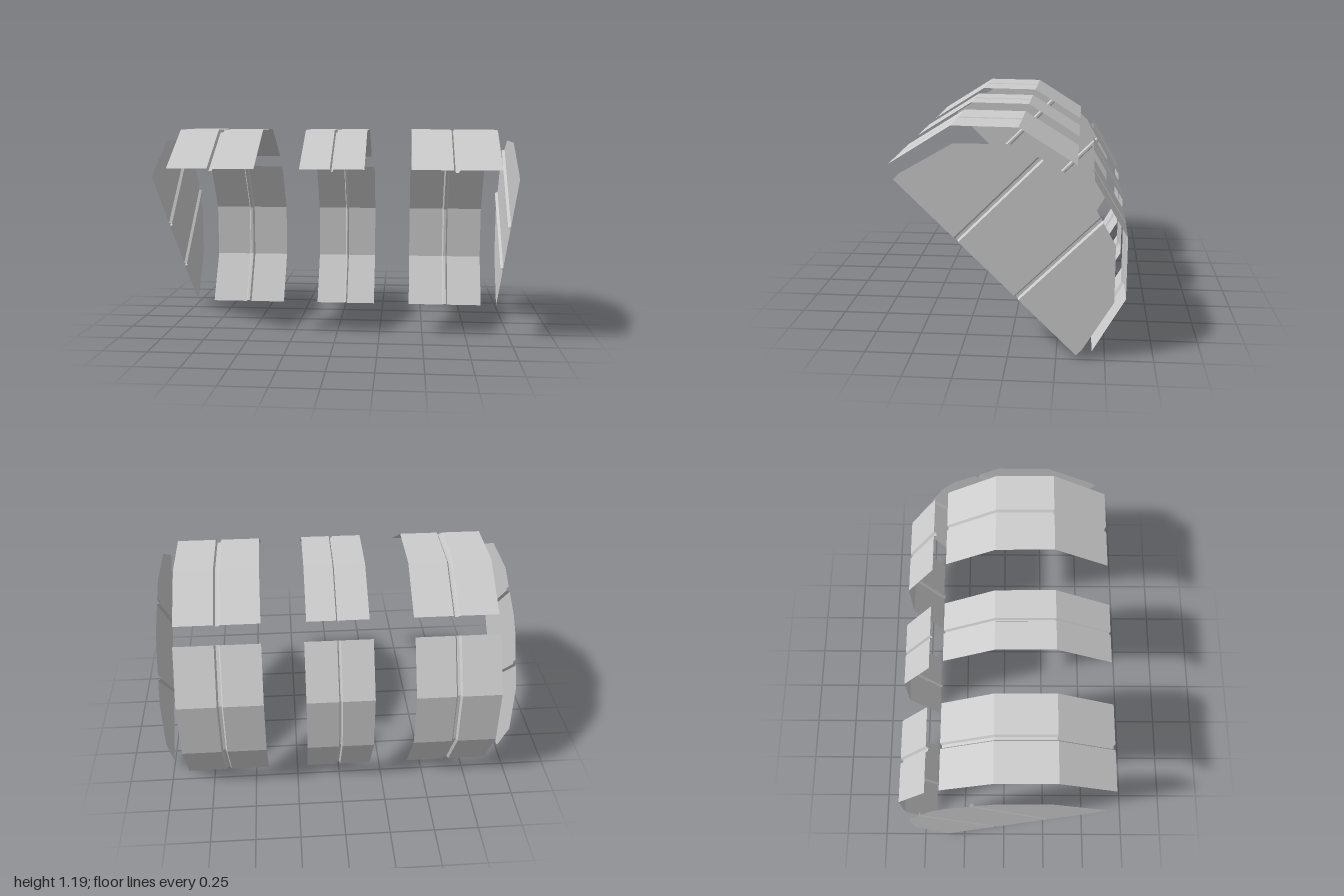
import * as THREE from 'three';

const DEPTH = 0.016; // how far the pressed grooves sink inwards

// Flat-faceted sheet through a grid of points (rows of equal length)
function sheet(rows) {
  const pos = [];
  for (let i = 0; i < rows.length - 1; i++) {
    for (let j = 0; j < rows[i].length - 1; j++) {
      const a = rows[i][j], b = rows[i + 1][j], c = rows[i + 1][j + 1], d = rows[i][j + 1];
      pos.push(...a, ...b, ...c, ...a, ...c, ...d);
    }
  }
  const g = new THREE.BufferGeometry();
  g.setAttribute('position', new THREE.Float32BufferAttribute(pos, 3));
  g.computeVertexNormals();
  return g;
}

// Bent strip: a grooved cross-section in x, swept along a [z, y] path
function strip(path, cx, half, groove, floor) {
  const section = [[-half, 0], [-groove, 0], [-floor, DEPTH], [floor, DEPTH], [groove, 0], [half, 0]];
  const pts = path.map(p => new THREE.Vector2(...p));
  const normal = (a, b) => { // inward side of a path running front to back and down
    const t = b.clone().sub(a).normalize();
    return new THREE.Vector2(-t.y, t.x);
  };
  const rows = pts.map((p, i) => {
    const n0 = i > 0 ? normal(pts[i - 1], p) : normal(p, pts[i + 1]);
    const n1 = i < pts.length - 1 ? normal(p, pts[i + 1]) : n0;
    const m = n0.clone().add(n1).divideScalar(1 + n0.dot(n1)); // mitre at the bends
    return section.map(([x, d]) => [cx + x, p.y + m.y * d, p.x + m.x * d]);
  });
  return sheet(rows);
}

// End panel: height v over its straight edge u, with two grooves across it
function endPanel(side) {
  const rim = [[0, 0.042], [0.081, 0.343], [0.293, 0.555], [0.59, 0.64],
    [0.704, 0.64], [1.0, 0.555], [1.213, 0.343], [1.29, 0.042]];
  const height = u => {
    const i = Math.max(1, rim.findIndex(p => p[0] >= u));
    const [a, b] = [rim[i - 1], rim[i]];
    return a[1] + (b[1] - a[1]) * (u - a[0]) / (b[0] - a[0]);
  };
  const stations = rim.map(([u, v]) => [u, v, 0]);
  for (const c of [0.432, 0.858]) {
    for (const [du, d] of [[-0.016, 0], [-0.007, DEPTH], [0.007, DEPTH], [0.016, 0]]) {
      stations.push([c + du, height(c + du), d]);
    }
  }
  stations.sort((a, b) => a[0] - b[0]);
  const s = Math.SQRT1_2;
  return sheet(stations.map(([u, v, d]) => [0, v].map(h =>
    [side * (1 - d), 0.935 + (h - u) * s, 0.56 - (u + h) * s])));
}

export function createModel() {
  const model = new THREE.Group();
  model.name = 'panelShell';
  const grey = new THREE.MeshStandardMaterial({ color: 0xcccccc, side: THREE.DoubleSide });
  grey.name = 'light grey';
  const add = (name, geometry) => {
    const mesh = new THREE.Mesh(geometry, grey);
    mesh.name = name;
    model.add(mesh);
  };

  // [z, y] paths of the roof and rear strips
  const roof = [[0.605, 0.99], [0.285, 1.19], [-0.052, 1.185], [-0.345, 1.0]];
  const rear = [[-0.43, 0.925], [-0.603, 0.63], [-0.603, 0.3], [-0.433, 0]];

  // Middle strips
  add('roofStripMiddle', strip(roof, -0.002, 0.176, 0.01, 0.003));
  add('rearStripMiddle', strip(rear, -0.002, 0.192, 0.01, 0.003));

  // Outer strips and end panels, mirrored
  for (const [label, side] of [['Left', 1], ['Right', -1]]) {
    add('roofStrip' + label, strip(roof, side * 0.666, 0.241, 0.017, 0.008));
    add('rearStrip' + label, strip(rear, side * 0.666, 0.241, 0.017, 0.008));
    add('endPanel' + label, endPanel(side));
  }
  return model;
}
